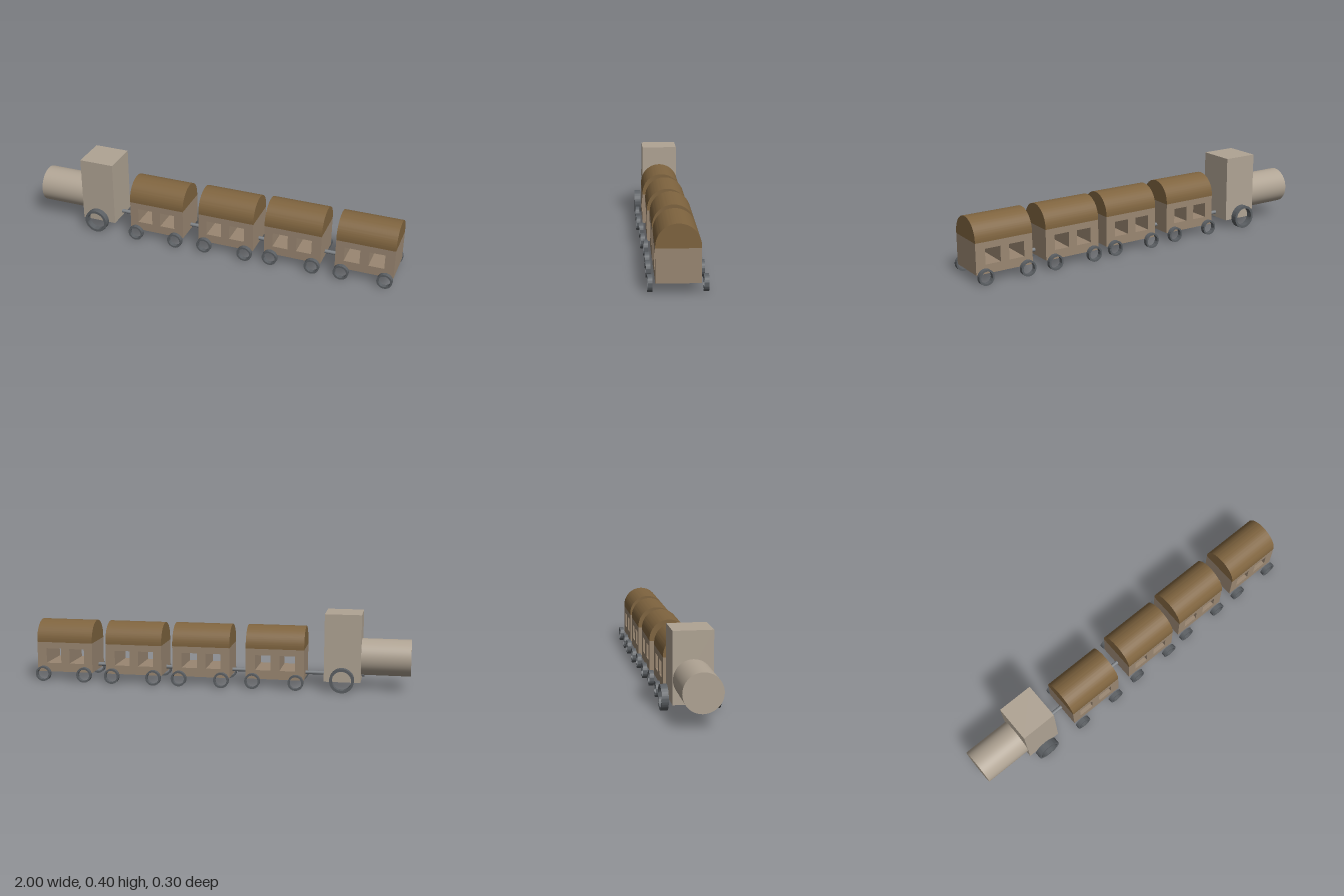
import * as THREE from 'three';
import { toCreasedNormals } from 'three/addons/utils/BufferGeometryUtils.js';

const paint = (color) => new THREE.MeshStandardMaterial({ color });
const cabPaint = paint(0xb0a494);
const bodyPaint = paint(0x9a8772);
const roofPaint = paint(0x7f643f);
const wheelPaint = paint(0x5c6064);
const rodPaint = paint(0x7c8084);

const BASE = 0.048; // underside of cab and carriages

function add(parent, name, geometry, material, x = 0, y = 0, z = 0) {
  const mesh = new THREE.Mesh(geometry, material);
  mesh.name = name;
  mesh.position.set(x, y, z);
  parent.add(mesh);
  return mesh;
}

// Extrude a shape, centred on its depth, with soft curves and sharp edges
function extrude(shape, depth) {
  const geo = new THREE.ExtrudeGeometry(shape, { depth, bevelEnabled: false, curveSegments: 32 });
  geo.translate(0, 0, -depth / 2);
  return toCreasedNormals(geo, 0.5);
}

function rectangle(ShapeType, x0, y0, x1, y1) {
  return new ShapeType([[x0, y0], [x1, y0], [x1, y1], [x0, y1]].map(([x, y]) => new THREE.Vector2(x, y)));
}

// Open ring wheel, axis along z
function ringGeometry(radius, inner, width) {
  const shape = new THREE.Shape().absarc(0, 0, radius, 0, Math.PI * 2, false);
  shape.holes.push(new THREE.Path().absarc(0, 0, inner, 0, Math.PI * 2, true));
  return extrude(shape, width);
}

// A wheel on each side of the vehicle
function addWheelPair(parent, geometry, x, radius, offset) {
  for (const side of [1, -1]) {
    add(parent, side > 0 ? 'frontSideWheel' : 'backSideWheel', geometry, wheelPaint, x, radius, side * offset);
  }
}

function createEngine() {
  const engine = new THREE.Group();
  engine.name = 'engine';
  add(engine, 'cab', new THREE.BoxGeometry(0.19, 0.355, 0.196), cabPaint, -0.65, BASE + 0.1775, 0);
  const boiler = add(engine, 'boiler', new THREE.CylinderGeometry(0.096, 0.096, 0.256, 48), cabPaint, -0.872, 0.17, 0);
  boiler.rotation.z = Math.PI / 2;
  addWheelPair(engine, ringGeometry(0.0635, 0.05, 0.034), -0.65, 0.0635, 0.127);
  return engine;
}

function createCarriage() {
  const carriage = new THREE.Group();
  const half = 0.154, halfWidth = 0.1035, eave = 0.209, spring = 0.218;

  // Body with two windows cut right through
  const side = rectangle(THREE.Shape, -half, BASE, half, eave);
  for (const x of [-0.067, 0.062]) side.holes.push(rectangle(THREE.Path, x - 0.041, 0.095, x + 0.041, 0.175));
  add(carriage, 'body', extrude(side, halfWidth * 2), bodyPaint);

  // Barrel roof
  const arch = new THREE.Shape();
  arch.moveTo(-halfWidth, eave);
  arch.lineTo(halfWidth, eave);
  arch.lineTo(halfWidth, spring);
  arch.absarc(0, spring, halfWidth, 0, Math.PI, false);
  arch.closePath();
  add(carriage, 'roof', extrude(arch, half * 2), roofPaint).rotation.y = Math.PI / 2;

  const wheel = ringGeometry(0.0405, 0.031, 0.023);
  for (const x of [-0.114, 0.115]) addWheelPair(carriage, wheel, x, 0.0405, 0.127);
  return carriage;
}

export function createModel() {
  const train = new THREE.Group();
  train.name = 'train';

  const engine = createEngine();
  engine.position.z = 0.006;
  train.add(engine);

  // Carriages, each set slightly off the centre line: [x, z]
  [[-0.297, 0.012], [0.096, 0], [0.462, -0.0115], [0.846, -0.0115]].forEach(([x, z], i) => {
    const carriage = createCarriage();
    carriage.name = `carriage${i + 1}`;
    carriage.position.set(x, 0, z);
    train.add(carriage);
  });

  // Coupling rod running under the whole train
  const rod = add(train, 'couplingRod', new THREE.CylinderGeometry(0.01, 0.01, 1.5, 20), rodPaint, -0.01, 0.074, 0.004);
  rod.rotation.z = Math.PI / 2;
  return train;
}
